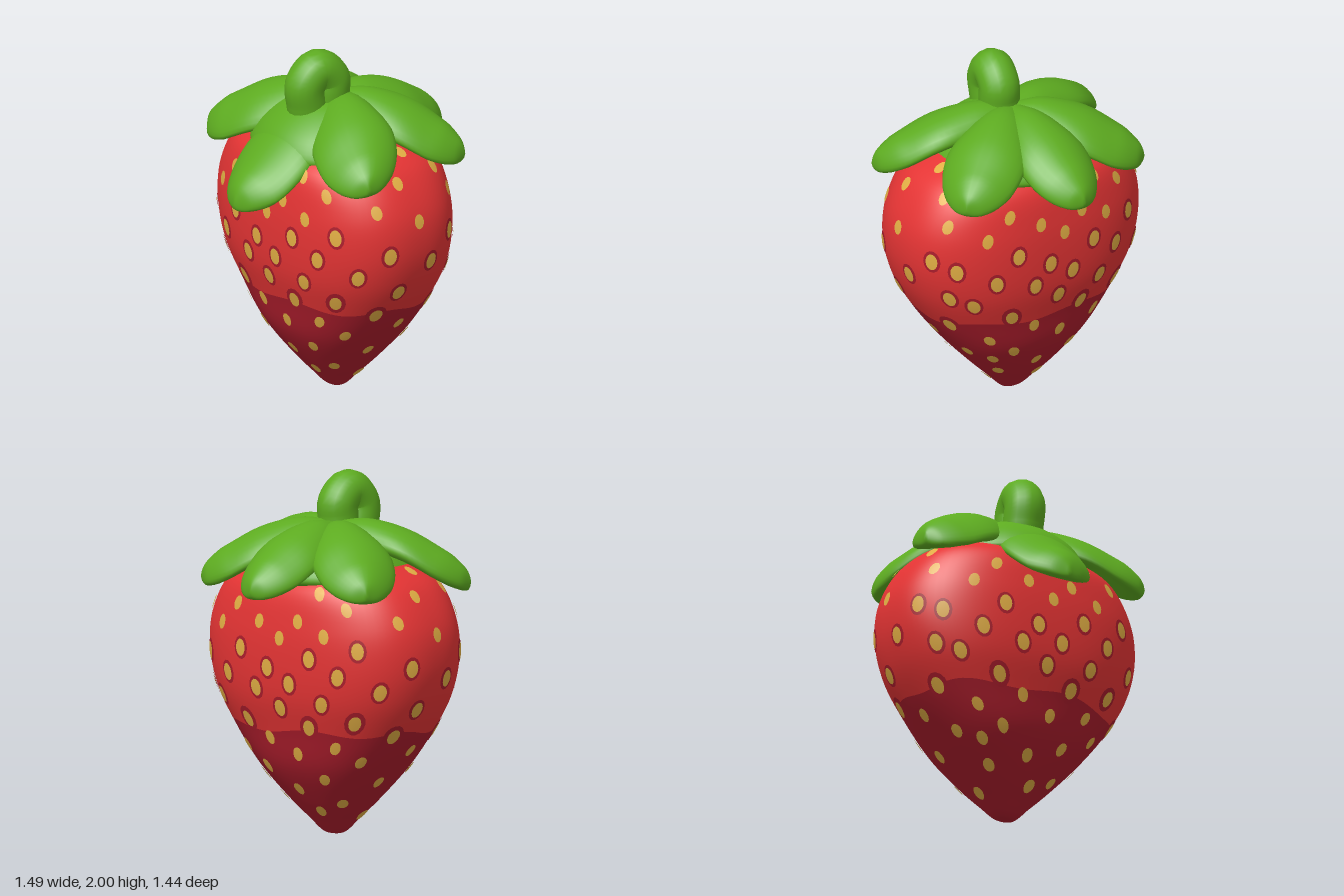
import * as THREE from 'three';
import { mergeGeometries, mergeVertices } from 'three/addons/utils/BufferGeometryUtils.js';

const mat = (name, color) => {
  const m = new THREE.MeshStandardMaterial({ color });
  m.name = name;
  return m;
};
const V = (x, y, z) => new THREE.Vector3(x, y, z);

// Smooth surface from a rule fn(u, v); its front faces du x dv
function grid(nu, nv, fn) {
  const pos = [], index = [];
  for (let j = 0; j <= nv; j++)
    for (let i = 0; i <= nu; i++) pos.push(...fn(i / nu, j / nv).toArray());
  for (let j = 0; j < nv; j++)
    for (let i = 0; i < nu; i++) {
      const a = j * (nu + 1) + i, d = a + nu + 1;
      index.push(a, a + 1, d + 1, a, d + 1, d);
    }
  const g = new THREE.BufferGeometry();
  g.setAttribute('position', new THREE.Float32BufferAttribute(pos, 3));
  g.setIndex(index);
  const merged = mergeVertices(g, 1e-5);
  merged.computeVertexNormals();
  return merged;
}

// Fruit profile: half width, height, half depth
const profile = new THREE.CatmullRomCurve3([
  V(0, 0, 0), V(0.06, 0.012, 0.045), V(0.14, 0.09, 0.12), V(0.25, 0.2, 0.215), V(0.43, 0.4, 0.35),
  V(0.58, 0.6, 0.415), V(0.69, 0.8, 0.475), V(0.74, 1.0, 0.495), V(0.725, 1.2, 0.49),
  V(0.62, 1.4, 0.45), V(0.48, 1.5, 0.34), V(0.3, 1.57, 0.2), V(0, 1.6, 0),
], false, 'centripetal');
const N = 2.4; // squareness of the cross-section

function fruitPoint(a, t) {
  const p = profile.getPoint(t), s = Math.sin(a), c = Math.cos(a);
  const r = (Math.abs(s) ** N + Math.abs(c) ** N) ** (-1 / N);
  return V(p.x * s * r, p.y, p.z * c * r);
}
function heightToT(y) {
  let lo = 0, hi = 1;
  for (let i = 0; i < 30; i++) {
    const m = (lo + hi) / 2;
    if (profile.getPoint(m).y < y) lo = m; else hi = m;
  }
  return lo;
}

// Oval patch lying on the fruit, raised by lift
function patch(a, t, w, h, lift) {
  const e = 0.003, at = fruitPoint(a, t);
  const du = fruitPoint(a + e, t).sub(at).divideScalar(e);
  const dv = fruitPoint(a, t + e).sub(at).divideScalar(e);
  const normal = du.clone().cross(dv).normalize();
  const lu = w / du.length(), lv = h / dv.length();
  const pts = [at.clone().addScaledVector(normal, lift + 0.001)], index = [], n = 14;
  for (let i = 0; i < n; i++) {
    const q = i / n * Math.PI * 2;
    pts.push(fruitPoint(a + lu * Math.cos(q), t + lv * Math.sin(q)).addScaledVector(normal, lift));
    index.push(0, 1 + i, 1 + (i + 1) % n);
  }
  const g = new THREE.BufferGeometry().setFromPoints(pts);
  g.setIndex(index);
  g.computeVertexNormals();
  return g;
}

// Seeds on the broad faces (x, y) and on the narrow sides (z, y)
const faceSeeds = [
  [-0.44, 1.18], [-0.31, 1.3], [-0.13, 1.22], [0.02, 1.14], [0.14, 1.24], [0.31, 1.17], [0.42, 1.32],
  [0.5, 1.1], [-0.61, 1.26], [-0.59, 1.0], [-0.27, 1.06], [-0.07, 0.97], [0.22, 1.04], [0.39, 0.95],
  [-0.39, 0.91], [-0.16, 0.85], [0.08, 0.89], [0.28, 0.79], [0.59, 0.87], [-0.49, 0.77], [0, 0.75],
  [-0.27, 0.66], [0.17, 0.65], [0.44, 0.69], [-0.54, 0.61], [-0.12, 0.57], [-0.35, 0.5], [0.06, 0.49],
  [0.3, 0.54], [-0.2, 0.4], [0.18, 0.35], [-0.02, 0.28], [-0.2, 0.22], [0.05, 0.15], [0.25, 1.4],
];
const sideSeeds = [
  [0.08, 1.38], [0.24, 1.25], [-0.05, 1.49], [0.01, 1.17], [-0.21, 1.4], [-0.31, 1.25], [0.19, 1.0],
  [-0.08, 0.92], [-0.24, 1.05], [-0.29, 0.82], [0.1, 0.76], [0.17, 0.61], [-0.16, 0.65], [-0.02, 0.51],
  [0.25, 0.46], [-0.16, 0.39], [0.07, 0.33], [-0.24, 0.34], [0.16, 0.2], [-0.02, 0.12],
];

// Puffy leaf along +z: a flattened tube with drooping edges
function leafGeometry({ length, wide, heights, tilt = 0, droop = 0.06 }) {
  const reach = [-0.03, 0.2, 0.4, 0.57, 0.68, 0.72], widths = [0.1, 0.19, 0.24, 0.2, 0.1, 0];
  const spine = new THREE.CatmullRomCurve3(
    reach.map((r, i) => V(widths[i] * wide, heights[i], r * length / 0.72)), false, 'centripetal');
  return grid(28, 30, (u, v) => {
    const p = spine.getPoint(v), q = u * Math.PI * 2;
    const hw = Math.max(p.x, 0), k = Math.cos(q);
    const thick = 0.09 * Math.min(1, Math.sqrt(hw / 0.16));
    const x = hw * k;
    return V(x, p.y + thick * Math.sin(q) - droop * k * k * Math.min(1, hw / 0.2) + tilt * x, p.z);
  });
}

export function createModel() {
  const red = mat('fruit red', 0xe53434);
  const crimson = mat('deep crimson', 0xac1d2c);
  const gold = mat('seed gold', 0xe2ae44);
  const green = mat('leaf green', 0x5dab20);
  const model = new THREE.Group();
  model.name = 'strawberry';
  const add = (name, geometry, material) => {
    const m = new THREE.Mesh(geometry, material);
    m.name = name;
    model.add(m);
    return m;
  };

  // Fruit, split in two along a wavy colour line
  const splits = Array.from({ length: 96 }, (_, i) => heightToT(0.615 + 0.015 * Math.sin(i / 96 * Math.PI * 12)));
  const split = (u) => splits[Math.round(u * 96) % 96];
  const turn = (u) => u * Math.PI * 2;
  add('fruitUpper', grid(96, 48, (u, v) => fruitPoint(turn(u), split(u) + (1 - split(u)) * v)), red);
  add('fruitLower', grid(96, 40, (u, v) => fruitPoint(turn(u), split(u) * v)), crimson);

  // Seeds, ringed with crimson around the middle of the fruit
  const seeds = [], rings = [], planted = [];
  const plant = (a, y, t) => {
    const ringed = y > 0.58 && y < 1.12;
    const size = ringed ? 1.1 : 0.95;
    for (const b of [a, a + Math.PI]) {
      const at = fruitPoint(b, t);
      if (planted.some((p) => p.distanceTo(at) < 0.11)) continue;
      planted.push(at);
      seeds.push(patch(b, t, 0.033 * size, 0.044 * size, 0.007));
      const spread = y < 0.7 ? 1.15 : 1;
      if (ringed) rings.push(patch(b, t, 0.052 * spread, 0.066 * spread, 0.004));
    }
  };
  const other = (s) => (1 - Math.abs(s) ** N) ** (1 / N);
  const clamp = (s) => Math.max(-0.98, Math.min(0.98, s));
  for (const [x, y] of faceSeeds) {
    const t = heightToT(y), s = clamp(x / profile.getPoint(t).x);
    plant(Math.atan2(s, other(s)), y, t);
  }
  for (const [z, y] of sideSeeds) {
    const t = heightToT(y), s = clamp(z / profile.getPoint(t).z);
    plant(Math.atan2(other(s), s), y, t);
  }
  add('seeds', mergeGeometries(seeds), gold);
  add('seedRings', mergeGeometries(rings), crimson);

  // Six leaves
  const frontY = [1.65, 1.59, 1.48, 1.34, 1.26, 1.22];
  const outerY = [1.655, 1.66, 1.605, 1.51, 1.44, 1.42];
  const leaves = [
    ['frontLeaf', 0, { length: 0.715, wide: 1.06, heights: frontY, droop: 0.05 }],
    ['backLeaf', 180, { length: 0.725, wide: 0.9, heights: outerY }],
  ];
  for (const s of [1, -1]) {
    const side = s > 0 ? 'left' : 'right';
    leaves.push([side + 'FrontLeaf', s * 64.5, { length: 0.77, wide: 0.95, heights: outerY, tilt: s * 0.2 }]);
    leaves.push([side + 'BackLeaf', s * 126.5, { length: 0.735, wide: 0.95, heights: outerY }]);
  }
  for (const [name, degrees, shape] of leaves)
    add(name, leafGeometry(shape), green).rotation.y = degrees * Math.PI / 180;

  // Crown joining the leaves between their bases
  const crownProfile = new THREE.SplineCurve([
    [0.42, 1.42], [0.465, 1.46], [0.41, 1.565], [0.3, 1.66], [0.18, 1.715], [0, 1.73],
  ].map(([x, y]) => new THREE.Vector2(x, y)));
  add('leafCrown', new THREE.LatheGeometry(crownProfile.getPoints(24), 48), green);

  // Stem hooking back over itself
  const stemPath = new THREE.CatmullRomCurve3([
    V(0, 1.55, 0.17), V(0, 1.7, 0.2), V(0.005, 1.81, 0.212), V(0.02, 1.885, 0.14),
    V(0.03, 1.82, 0.065), V(0.03, 1.75, 0.065), V(0.02, 1.62, 0.07),
  ]);
  add('stem', new THREE.TubeGeometry(stemPath, 40, 0.114, 18), green);

  return model;
}
